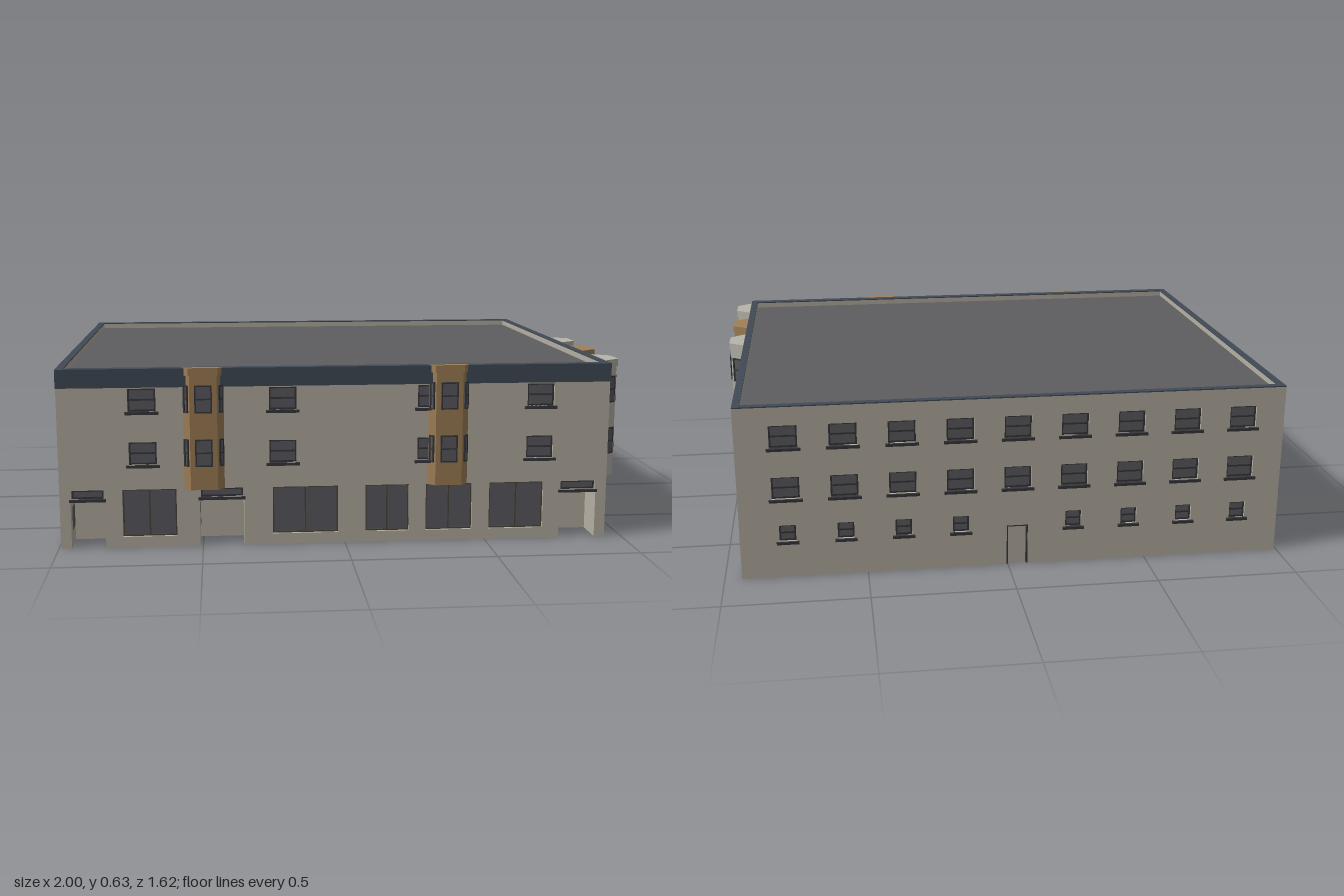
import * as THREE from 'three';

const mat = (name, color, side = THREE.FrontSide) => {
  const m = new THREE.MeshStandardMaterial({ color, side });
  m.name = name;
  return m;
};
const M = {
  wall: mat('stone', 0xb5b0a3),
  roof: mat('roof felt', 0x5e5e60),
  glass: mat('glass', 0x5c5c61),
  slate: mat('slate', 0x414a55),
  frame: mat('dark frame', 0x37373b),
  shop: mat('shopfront frame', 0x4c463a),
  tan: mat('tan bay', 0xa08056),
  pale: mat('pale bay', 0xb7b5aa),
};

const X0 = -0.992, X1 = 0.94, Z0 = -0.8, Z1 = 0.78, H = 0.63, T = 0.026;

function add(parent, name, geo, material, x = 0, y = 0, z = 0) {
  const m = new THREE.Mesh(geo, material);
  m.name = name;
  m.position.set(x, y, z);
  parent.add(m);
  return m;
}
// box given by its limits
function box(parent, name, material, x0, x1, y0, y1, z0, z1) {
  return add(parent, name, new THREE.BoxGeometry(x1 - x0, y1 - y0, z1 - z0), material,
    (x0 + x1) / 2, (y0 + y1) / 2, (z0 + z1) / 2);
}

// pane with border, optional middle rail, mullion and sill; z is the pane's front
function pane(parent, name, u0, u1, v0, v1, z, { rail, mullion, sill, f = 0.006, material = M.frame } = {}) {
  const g = new THREE.Group();
  g.name = name;
  parent.add(g);
  const u = (u0 + u1) / 2, v = (v0 + v1) / 2, a = z, b = z + 0.005;
  box(g, 'glass', M.glass, u0, u1, v0, v1, z - 0.004, z);
  box(g, 'frameSide', material, u0, u0 + f, v0, v1, a, b);
  box(g, 'frameSide', material, u1 - f, u1, v0, v1, a, b);
  box(g, 'frameTop', material, u0 + f, u1 - f, v1 - f, v1, a, b);
  box(g, 'frameBottom', material, u0 + f, u1 - f, v0, v0 + f, a, b);
  if (rail) box(g, 'rail', material, u0 + f, u1 - f, v - f / 2, v + f / 2, a, b);
  if (mullion) box(g, 'mullion', material, u - f / 2, u + f / 2, v0 + f, v1 - f, a, b);
  if (sill) box(g, 'sill', M.frame, u0 - 0.01, u1 + 0.01, v0 - 0.01, v0, -0.012, 0.008);
}

// three-sided bay with a cornice and two floors of windows
function bay(parent, u, w, p, d, material) {
  const g = new THREE.Group();
  g.name = 'bayWindow';
  g.position.x = u;
  parent.add(g);
  const prism = (name, e, y0, y1) => {
    const s = new THREE.Shape([[-w / 2 - e, 0], [-p / 2 - e, -d - e], [p / 2 + e, -d - e], [w / 2 + e, 0]]
      .map(q => new THREE.Vector2(...q)));
    const geo = new THREE.ExtrudeGeometry(s, { depth: y1 - y0, bevelEnabled: false }).rotateX(-Math.PI / 2);
    add(g, name, geo, material, 0, y0, 0);
  };
  prism('bayBody', 0, 0.205, 0.605);
  prism('bayCornice', 0.004, 0.605, H + 0.002);
  const c = [[-w / 2, 0], [-p / 2, d], [p / 2, d], [w / 2, 0]];
  for (let i = 0; i < 3; i++) {
    const [ax, az] = c[i], [bx, bz] = c[i + 1];
    const side = new THREE.Group();
    side.name = 'baySide';
    side.position.set((ax + bx) / 2, 0, (az + bz) / 2);
    side.rotation.y = -Math.atan2(bz - az, bx - ax);
    g.add(side);
    const h = Math.hypot(bx - ax, bz - az) * 0.32;
    for (const v of [0.288, 0.476]) pane(side, 'bayPane', -h, h, v, v + 0.096, 0.001, { rail: true, f: 0.005 });
  }
}

// recessed doorway: back panel, cheeks and ceiling facing into the opening
function doorway(parent, { u0, u1, v1, depth, porch, shutter }) {
  const g = new THREE.Group();
  g.name = shutter ? 'shutter' : 'doorway';
  parent.add(g);
  const u = (u0 + u1) / 2, w = u1 - u0;
  const plane = (name, a, b, m, x, y, z, rx, ry) => {
    const q = add(g, name, new THREE.PlaneGeometry(a, b), m, x, y, z);
    q.rotation.set(rx, ry, 0);
  };
  plane('door', w, v1, shutter ? M.glass : M.wall, u, v1 / 2, -depth, 0, 0);
  plane('cheek', depth, v1, M.wall, u0, v1 / 2, -depth / 2, 0, Math.PI / 2);
  plane('cheek', depth, v1, M.wall, u1, v1 / 2, -depth / 2, 0, -Math.PI / 2);
  plane('ceiling', w, depth, M.wall, u, v1, -depth / 2, Math.PI / 2, 0);
  if (porch) {
    plane('sideGlass', depth * 0.6, v1 * 0.5, M.glass, u0 + 0.002, v1 * 0.6, -depth * 0.55, 0, Math.PI / 2);
    box(g, 'transom', M.frame, u0 - 0.004, u1 + 0.004, v1, v1 + 0.01, -0.01, 0.006);
  } else if (shutter) {
    box(g, 'shutterHead', M.pale, u0, u1, v1 - 0.01, v1, -depth, 0.004);
    for (let y = 0.02; y < v1 - 0.015; y += 0.02)
      box(g, 'slat', M.frame, u0, u1, y, y + 0.003, -depth, -depth + 0.002);
  } else {
    plane('doorBack', w, v1, M.slate, u, v1 / 2, -T - 0.003, 0, Math.PI);
    box(g, 'jamb', M.frame, u0, u0 + 0.005, 0, v1, -depth, -0.002);
    box(g, 'jamb', M.frame, u1 - 0.005, u1, 0, v1, -depth, -0.002);
    box(g, 'head', M.frame, u0, u1, v1 - 0.005, v1, -depth, -0.002);
  }
}

// wall in its own frame: u along it, v up, +z outward
function wall(root, name, rotY, x, z, u0, u1, { windows = [], shops = [], doors = [] }) {
  const g = new THREE.Group();
  g.name = name;
  g.rotation.y = rotY;
  g.position.set(x, 0, z);
  root.add(g);
  const pts = [[u0, 0]];
  doors.sort((a, b) => a.u0 - b.u0);
  for (const d of doors) pts.push([d.u0, 0], [d.u0, d.v1], [d.u1, d.v1], [d.u1, 0]);
  pts.push([u1, 0], [u1, H - 0.004], [u0, H - 0.004]);
  const s = new THREE.Shape(pts.map(p => new THREE.Vector2(...p)));
  const opening = (a, b, c, d, opts) => {
    s.holes.push(new THREE.Path([[a, c], [a, d], [b, d], [b, c]].map(p => new THREE.Vector2(...p))));
    pane(g, 'window', a, b, c, d, -0.014, opts);
  };
  for (const [u, w, v, h] of windows) opening(u - w / 2, u + w / 2, v, v + h, { rail: true, sill: true });
  for (const [a, b] of shops) opening(a, b, 0.038, 0.206, { mullion: true, material: M.shop, f: 0.005 });
  for (const d of doors) {
    doorway(g, d);
    if (d.porch) opening(d.u0 + 0.004, d.u1 - 0.004, d.v1 + 0.01, 0.206, {});
  }
  const geo = new THREE.ExtrudeGeometry(s, { depth: T, bevelEnabled: false }).translate(0, 0, -T);
  add(g, 'wallFace', geo, M.wall);
  // plain inner lining
  const lining = add(g, 'lining', new THREE.PlaneGeometry(u1 - u0, 0.598), M.wall, (u0 + u1) / 2, 0.299, -T - 0.002);
  lining.rotation.y = Math.PI;
  box(g, 'coping', M.slate, u0, u1, H - 0.004, H, -T, 0);
  return g;
}

export function createModel() {
  const root = new THREE.Group();
  root.name = 'cornerBuilding';
  const porch = (u0, u1) => ({ u0, u1, v1: 0.165, depth: 0.12, porch: true });
  const plain = u => ({ u0: u - 0.038, u1: u + 0.038, v1: 0.15, depth: 0.02 });
  const upper = (us, w = 0.096) => us.flatMap(u => [[u, w, 0.48, 0.08], [u, w, 0.293, 0.08]]);
  // two upper rows plus small ground windows, with a door in the middle column
  const grid = (n, first, step) => {
    const us = Array.from({ length: n }, (_, i) => first + i * step);
    const mid = (n - 1) / 2;
    return {
      windows: [...upper(us), ...us.filter((_, i) => i !== mid).map(u => [u, 0.058, 0.135, 0.06])],
      doors: [plain(us[mid])],
    };
  };

  // front
  const front = wall(root, 'frontWall', 0, 0, Z1, X0, X1, {
    windows: upper([-0.703, -0.218, 0.303, 0.693]),
    shops: [[-0.777, -0.59], [-0.255, -0.025], [0.072, 0.227], [0.287, 0.453], [0.515, 0.71]],
    doors: [porch(-0.955, -0.837), porch(-0.51, -0.355), porch(0.77, 0.902)],
  });
  box(front, 'slateFascia', M.slate, X0, X1, 0.565, H, 0, 0.01);
  for (const u of [-0.492, 0.363]) bay(front, u, 0.14, 0.094, 0.021, M.tan);

  // right side, where u runs towards the back
  const right = wall(root, 'rightSideWall', Math.PI / 2, X1, 0, -Z1 + T, -Z0 - T, {
    windows: upper([0.27, 0.59], 0.092),
    shops: [[-0.688, -0.52], [-0.255, -0.137], [-0.082, 0.035], [0.152, 0.273]],
    doors: [porch(-0.446, -0.346), porch(0.32, 0.412),
      { u0: 0.52, u1: 0.745, v1: 0.168, depth: 0.016, shutter: true }],
  });
  [[-0.64, M.pale], [-0.361, M.tan], [-0.084, M.pale]].forEach(([u, m]) => bay(right, u, 0.166, 0.084, 0.053, m));

  // back and left side
  wall(root, 'backWall', Math.PI, 0, Z0, -X1, -X0, grid(9, -0.775, 0.202));
  wall(root, 'leftSideWall', -Math.PI / 2, X0, 0, Z0 + T, Z1 - T, grid(7, -0.635, 0.211));

  // flat roof behind the parapet
  box(root, 'flatRoof', M.roof, X0 + T, X1 - T, 0.596, 0.606, Z0 + T, Z1 - T);
  return root;
}
